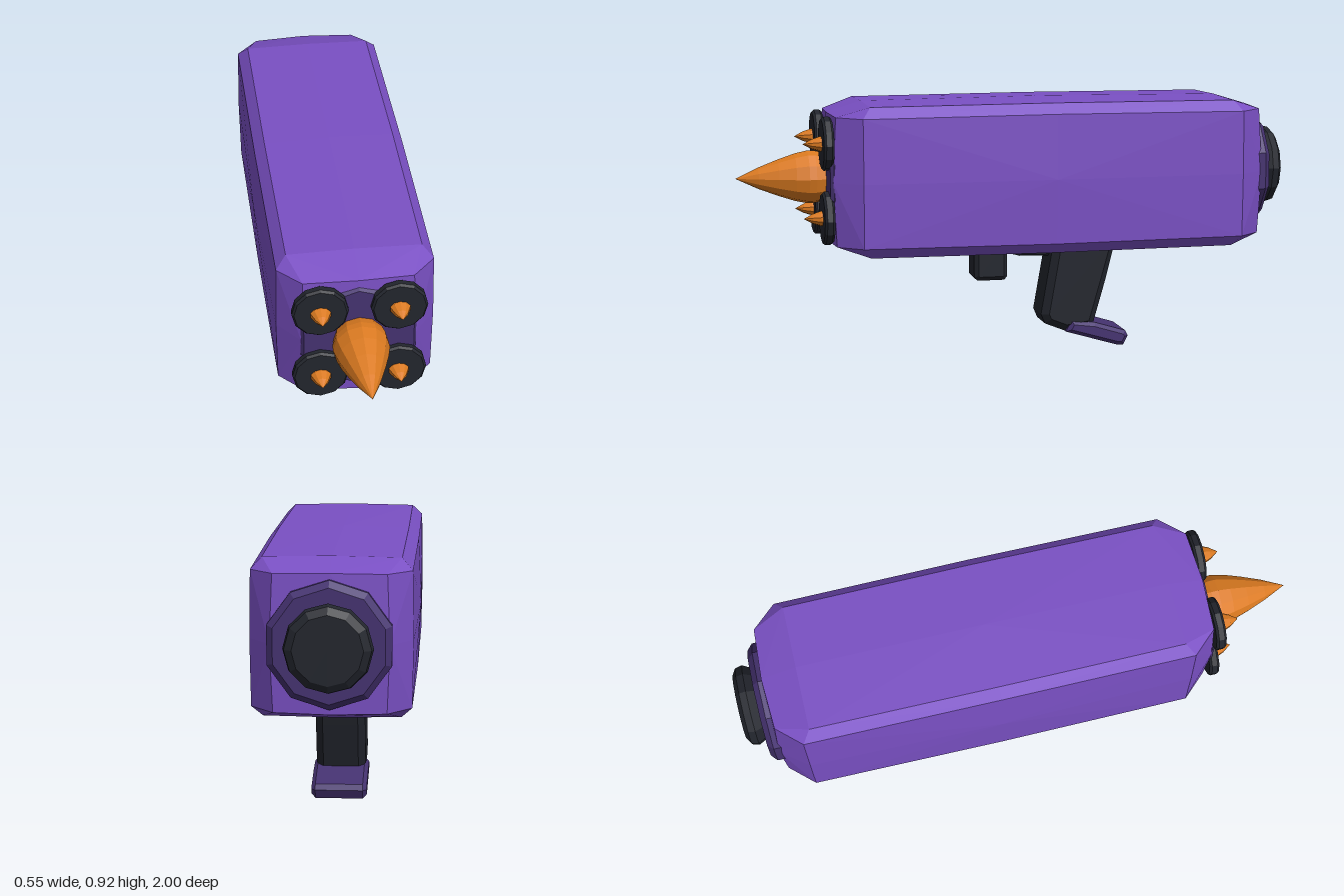
import * as THREE from 'three';
import { ConvexGeometry } from 'three/addons/geometries/ConvexGeometry.js';

const material = (name, color) => {
  const m = new THREE.MeshStandardMaterial({ color, flatShading: true });
  m.name = name;
  return m;
};

export function createModel() {
  const purple = material('purple', 0x7a50c4);
  const darkPurple = material('dark purple', 0x453270);
  const black = material('black', 0x22252d);
  const orange = material('orange', 0xdb7a20);

  const model = new THREE.Group();
  model.name = 'launcher';
  const CY = 0.65; // height of the barrel axis

  const add = (name, geometry, mat, x = 0, y = 0, z = 0) => {
    const mesh = new THREE.Mesh(geometry, mat);
    mesh.name = name;
    mesh.position.set(x, y, z);
    model.add(mesh);
    return mesh;
  };

  // Solid of revolution along z from [radius, z] pairs, running back to front
  const turned = (profile, sides) => new THREE.LatheGeometry(
    profile.map(([r, z]) => new THREE.Vector2(r, z)), sides).rotateX(Math.PI / 2);

  // Bevelled side profile of [z, y] points, centred on x = 0
  const slab = (outline, width, bevel) => {
    const shape = new THREE.Shape(outline.map(([z, y]) => new THREE.Vector2(z, y)));
    return new THREE.ExtrudeGeometry(shape, {
      depth: width - 2 * bevel, bevelThickness: bevel, bevelSize: bevel,
      bevelOffset: -bevel, bevelSegments: 1,
    }).translate(0, 0, bevel - width / 2).rotateY(-Math.PI / 2);
  };

  // Body: chamfered box whose faces swell slightly towards their middles
  const points = [];
  const MZ = -0.11;
  const p = (x, y, z) => points.push(new THREE.Vector3(x, CY + y, MZ + z));
  for (const s of [-1, 1]) {
    for (const t of [-1, 1]) {
      for (const u of [-1, 1]) {
        p(s * 0.185, t * 0.228, u * 0.775);
        p(s * 0.264, t * 0.227, u * 0.69);
        p(s * 0.228, t * 0.265, u * 0.66);
      }
      p(s * 0.267, t * 0.231, 0);
      p(s * 0.231, t * 0.268, 0);
      p(s * 0.268, 0, t * 0.69);
      p(0, s * 0.269, t * 0.66);
      p(s * 0.194, 0, t * 0.787);
      p(0, s * 0.231, t * 0.785);
    }
    p(s * 0.277, 0, 0);
    p(0, s * 0.275, 0);
    p(0, 0, s * 0.793);
  }
  add('body', new ConvexGeometry(points), purple);

  // Front panel and rear collar
  add('frontPanel', turned([[0, 0.6], [0.205, 0.6], [0.205, 0.674], [0.195, 0.686], [0, 0.688]], 10),
    darkPurple, 0, CY);
  add('rearCollar', turned([[0, -0.93], [0.19, -0.93], [0.212, -0.91], [0.212, -0.85], [0, -0.85]], 10),
    darkPurple, 0, CY);
  add('rearCap', turned([[0, -1], [0.115, -1], [0.14, -0.985], [0.146, -0.96], [0.125, -0.92], [0, -0.92]], 12),
    black, 0, CY);

  // Main warhead
  add('mainWarhead', turned([[0, 0.68], [0.085, 0.68], [0.094, 0.72], [0.095, 0.745], [0.085, 0.79],
    [0.065, 0.85], [0.038, 0.92], [0, 1]], 12), orange, 0, CY);

  // Four side tubes, each with a small warhead
  for (const x of [-0.132, 0.132]) {
    for (const y of [-0.132, 0.132]) {
      add('tubeDisc', turned([[0, 0.674], [0.088, 0.674], [0.095, 0.682], [0.095, 0.702], [0.088, 0.71],
        [0, 0.71]], 12), black, x, CY + y);
      add('smallWarhead', turned([[0, 0.69], [0.034, 0.69], [0.035, 0.715], [0.022, 0.745], [0, 0.775]], 10)
        .scale(1, 0.75, 1), orange, x, CY + y);
    }
  }

  // Pistol grip and its foot
  add('grip', slab([[-0.15, 0.41], [-0.1, 0.125], [-0.115, 0.09], [-0.19, 0.06], [-0.295, 0.075],
    [-0.345, 0.25], [-0.385, 0.41]], 0.174, 0.025), black);
  add('gripFoot', slab([[-0.19, 0.06], [-0.21, 0.102], [-0.3, 0.09], [-0.415, 0.055], [-0.425, 0.035],
    [-0.408, 0.002], [-0.385, 0.002]], 0.194, 0.014), darkPurple);

  // Forward hand stop
  add('handStop', slab([[0.147, 0.4], [0.147, 0.27], [0.135, 0.257], [0.036, 0.257], [0.024, 0.27],
    [0.024, 0.4]], 0.126, 0.015), black);

  // Trigger and its mount
  add('triggerMount', slab([[0.02, 0.39], [0.015, 0.35], [-0.03, 0.338], [-0.17, 0.334], [-0.17, 0.39]],
    0.05, 0.008), black);

  return model;
}
